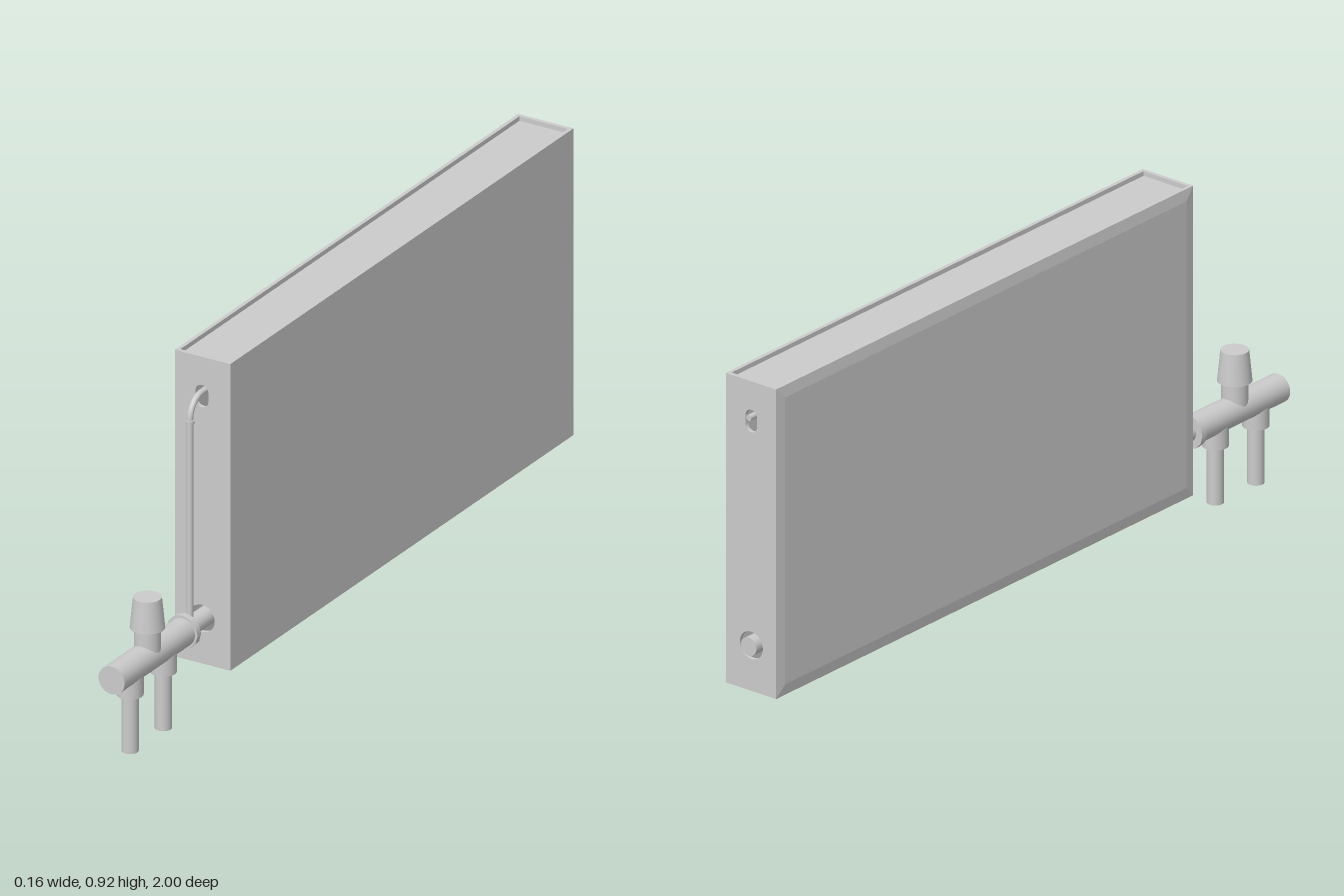
import * as THREE from 'three';

const material = new THREE.MeshStandardMaterial({ color: 0xcccccc });

export function createModel() {
  const root = new THREE.Group();
  root.name = 'radiator';

  const add = (name, geometry, x = 0, y = 0, z = 0) => {
    const mesh = new THREE.Mesh(geometry, material);
    mesh.name = name;
    mesh.position.set(x, y, z);
    root.add(mesh);
    return mesh;
  };
  // Box given by its limits on each axis
  const box = (name, [x0, x1], [y0, y1], [z0, z1]) =>
    add(name, new THREE.BoxGeometry(x1 - x0, y1 - y0, z1 - z0),
      (x0 + x1) / 2, (y0 + y1) / 2, (z0 + z1) / 2);
  // Upright round part, radius at bottom and top
  const upright = (name, z, y0, y1, r0, r1 = r0) =>
    add(name, new THREE.CylinderGeometry(r1, r0, y1 - y0, 24), 0, (y0 + y1) / 2, z);
  // Round part lying along z
  const lying = (name, y, z0, z1, r, sides = 24) => {
    const g = new THREE.CylinderGeometry(r, r, z1 - z0, sides).rotateX(Math.PI / 2);
    return add(name, g, 0, y, (z0 + z1) / 2);
  };

  // Casing limits
  const X0 = -0.077, X1 = 0.08, Y0 = 0.1, Y1 = 0.915, Z0 = -0.99, Z1 = 0.585, T = 0.01;
  const pipeY = 0.22, returnY = 0.822;

  // Side panels, floor and recessed top panel
  box('rightPanel', [X1 - T, X1], [Y0, Y1], [Z0 + T, Z1 - T]);
  box('leftPanel', [X0, X0 + T], [Y0, Y1], [Z0 + T, Z1 - T]);
  box('bottomPanel', [X0 + T, X1 - T], [Y0, Y0 + T], [Z0 + T, Z1 - T]);
  box('topPanel', [X0 + T, X1 - T], [Y1 - 0.022, Y1 - 0.012], [Z0 + T, Z1 - T]);

  // Shallow raised face with bevelled borders
  const face = new THREE.BoxGeometry(0.004, Y1 - Y0, Z1 - Z0);
  const p = face.attributes.position;
  for (let i = 0; i < p.count; i++) {
    if (p.getX(i) < 0) {
      p.setY(i, p.getY(i) - Math.sign(p.getY(i)) * 0.03);
      p.setZ(i, p.getZ(i) - Math.sign(p.getZ(i)) * 0.03);
    }
  }
  const flatFace = face.toNonIndexed();
  flatFace.computeVertexNormals();
  add('raisedFace', flatFace, X0 - 0.002, (Y0 + Y1) / 2, (Z0 + Z1) / 2);

  // End plates with a slot above and a round hole below
  const plate = new THREE.Shape();
  plate.moveTo(X0, Y0).lineTo(X1, Y0).lineTo(X1, Y1).lineTo(X0, Y1).closePath();
  const slot = new THREE.Path();
  slot.absarc(0, 0.822, 0.018, 0, Math.PI, false);
  slot.absarc(0, 0.799, 0.018, Math.PI, Math.PI * 2, false);
  slot.closePath();
  const hole = new THREE.Path();
  hole.absarc(0, pipeY, 0.036, 0, Math.PI * 2, false);
  plate.holes.push(slot, hole);
  const plateGeometry = new THREE.ExtrudeGeometry(plate,
    { depth: T, bevelEnabled: false, curveSegments: 16 });
  add('frontPlate', plateGeometry, 0, 0, Z1 - T);
  add('backPlate', plateGeometry, 0, 0, Z0);

  // Pipes running through the casing
  lying('mainPipe', pipeY, -1, 0.67, 0.024);
  const bend = 0.052, riserZ = 0.64, r = 0.008;
  lying('upperPipe', returnY, -1, riserZ - bend, r, 16);
  upright('riserPipe', riserZ, pipeY, returnY - bend, r);
  const elbow = new THREE.TorusGeometry(bend, r, 16, 12, Math.PI / 2).rotateY(-Math.PI / 2);
  add('riserElbow', elbow, 0, returnY - bend, riserZ - bend);
  upright('riserCollar', riserZ, 0.76, 0.769, 0.011);

  // Valve body with its nut, stem and knob
  lying('valveBody', pipeY, 0.665, 1, 0.037);
  lying('valveNut', pipeY, 0.66, 0.677, 0.044, 12);
  const knobZ = 0.835;
  upright('valveStem', knobZ, pipeY, 0.297, 0.033);
  upright('valveKnob', knobZ, 0.296, 0.377, 0.043, 0.035);

  // Two connections down to the floor
  for (const z of [0.762, 0.915]) {
    upright('connector', z, 0.15, pipeY, 0.033);
    upright('floorPipe', z, 0, 0.155, 0.021);
  }
  return root;
}
